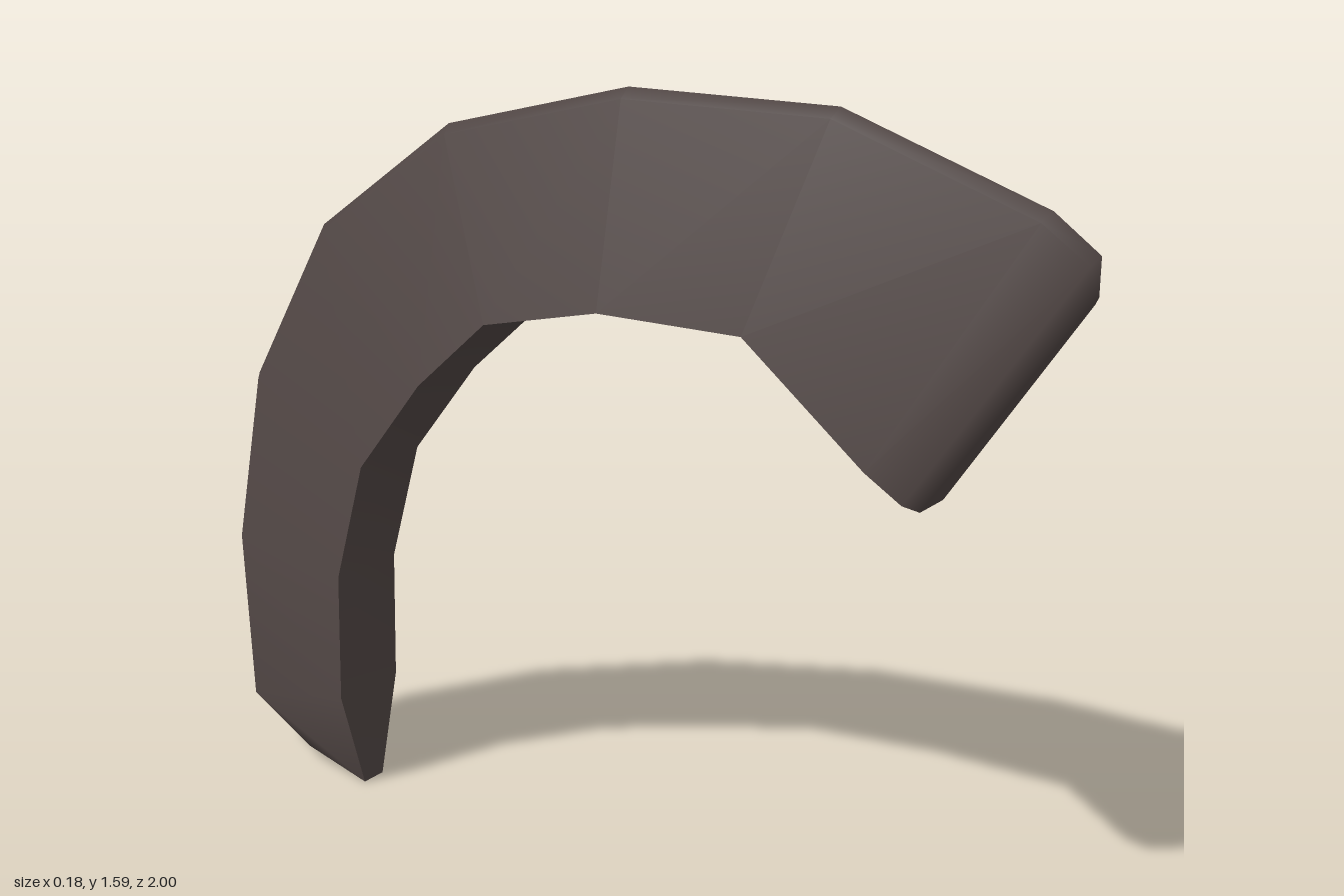
import * as THREE from 'three';

// Cross-sections from the front tip over the arch to the foot:
// [ridge z, ridge y, inner z, inner y, inner half width, rim half width]
const SECTIONS = [
  [1.0, 1.31, 0.71, 0.89, 0.045, 0.012],
  [1.0, 1.38, 0.68, 0.9, 0.058, 0.018],
  [0.91, 1.445, 0.62, 0.96, 0.092, 0.025],
  [0.5, 1.585, 0.36, 1.17, 0.092, 0.025],
  [0.05, 1.585, 0.04, 1.17, 0.092, 0.025],
  [-0.38, 1.48, -0.23, 1.11, 0.092, 0.025],
  [-0.72, 1.24, -0.4, 0.96, 0.092, 0.025],
  [-0.925, 0.89, -0.56, 0.76, 0.092, 0.025],
  [-1.0, 0.51, -0.635, 0.5, 0.092, 0.025],
  [-0.98, 0.13, -0.64, 0.22, 0.092, 0.025],
  [-0.83, 0.04, -0.635, 0.0, 0.03, 0.015],
];

// Five points per section: inner edge, rim, ridge, rim, inner edge
function ring([rz, ry, iz, iy, w, rim]) {
  const d = Math.hypot(iz - rz, iy - ry);
  const z = rz + (iz - rz) / d * 0.02;
  const y = ry + (iy - ry) / d * 0.02;
  return [[w, iy, iz], [rim, y, z], [0, ry, rz], [-rim, y, z], [-w, iy, iz]];
}

// Skins neighbouring sections between the listed pairs of ring points
function skin(pairs, capped) {
  const positions = SECTIONS.flatMap((s) => ring(s).flat());
  const index = [];
  const last = SECTIONS.length - 1;
  for (let i = 0; i < last; i++) {
    for (const [j, k] of pairs) {
      const a = i * 5 + j, b = i * 5 + k, c = a + 5, d = b + 5;
      index.push(a, c, d, a, d, b);
    }
  }
  if (capped) {
    const e = last * 5;
    for (let k = 1; k < 4; k++) {
      index.push(0, k, k + 1);
      index.push(e, e + k + 1, e + k);
    }
  }
  const g = new THREE.BufferGeometry();
  g.setAttribute('position', new THREE.Float32BufferAttribute(positions, 3));
  g.setIndex(index);
  g.computeVertexNormals();
  return g;
}

export function createModel() {
  const group = new THREE.Group();
  group.name = 'curvedCrest';
  const darkBrown = new THREE.MeshStandardMaterial({ color: 0x544947 });
  darkBrown.name = 'darkBrown';

  // Tapered sides, ridge and both ends share smooth normals
  const shell = new THREE.Mesh(skin([[0, 1], [1, 2], [2, 3], [3, 4]], true), darkBrown);
  shell.name = 'outerShell';

  // Separate inner face keeps its edges sharp
  const inner = new THREE.Mesh(skin([[4, 0]], false), darkBrown);
  inner.name = 'innerFace';

  group.add(shell, inner);
  return group;
}
